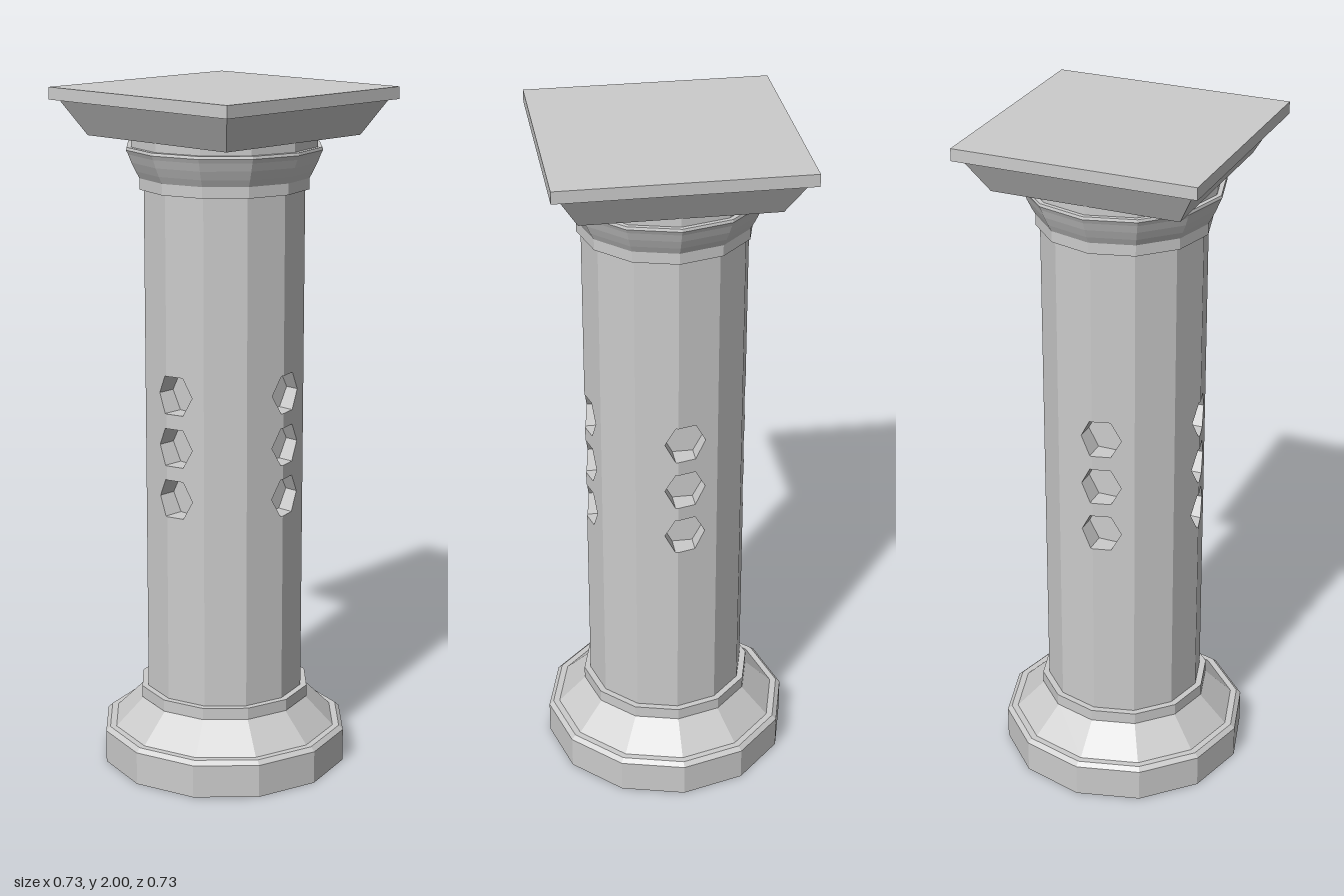
import * as THREE from 'three';

const SIDES = 12, R = 0.235, Y0 = 0.2, Y1 = 1.74;
const HALF = R * Math.sin(Math.PI / 6);          // width of one facet seen from its ridge
const SLOPE = Math.tan(Math.PI / 12);
const SOCKET_Y = [0.845, 0.997, 1.15];
const SX = 0.022, SR = 0.059, SH = 0.055, FLOOR = 0.172;

const material = new THREE.MeshStandardMaterial({ color: 0xcccccc, flatShading: true });

// height of the folded shaft surface above the axis plane
const surfaceZ = (x) => R - Math.abs(x) * SLOPE;

function add(parent, name, geometry, y = 0) {
  const mesh = new THREE.Mesh(geometry, material);
  mesh.name = name;
  mesh.position.y = y;
  parent.add(mesh);
  return mesh;
}

function lathe(parent, name, profile) {
  const points = profile.map(([r, y]) => new THREE.Vector2(r, y));
  return add(parent, name, new THREE.LatheGeometry(points, SIDES));
}

// one facet beside a ridge, notched along the ridge by the sockets
function notchedFacet(side) {
  const flat = side > 0 ? SX + SR / 2 : SX - SR / 2;
  const tip = SX + side * SR;
  const pts = [[0, Y0], [side * HALF, Y0], [side * HALF, Y1], [0, Y1]];
  for (const y of [...SOCKET_Y].reverse()) {
    pts.push([0, y + SH], [flat, y + SH], [tip, y], [flat, y - SH], [0, y - SH]);
  }
  const shape = new THREE.Shape(pts.map(([x, y]) => new THREE.Vector2(x, y)));
  const geometry = new THREE.ShapeGeometry(shape);
  const p = geometry.attributes.position;
  for (let i = 0; i < p.count; i++) p.setZ(i, surfaceZ(p.getX(i)));
  geometry.computeVertexNormals();
  return geometry;
}

// hexagonal recess: inner walls and a flat floor
function socketGeometry() {
  const a = SX - SR / 2, b = SX + SR / 2;
  const rim = [[a, -SH], [0, -SH], [b, -SH], [SX + SR, 0], [b, SH], [0, SH], [a, SH], [SX - SR, 0]];
  const v = [];
  rim.forEach(([x, y], i) => {
    const [u, w] = rim[(i + 1) % rim.length];
    const f0 = [x, y, surfaceZ(x)], f1 = [u, w, surfaceZ(u)];
    const b0 = [x, y, FLOOR], b1 = [u, w, FLOOR];
    v.push(...f0, ...f1, ...b0, ...f1, ...b1, ...b0);
    v.push(SX, 0, FLOOR, ...b0, ...b1);
  });
  const geometry = new THREE.BufferGeometry();
  geometry.setAttribute('position', new THREE.Float32BufferAttribute(v, 3));
  geometry.computeVertexNormals();
  return geometry;
}

// plain facet between two notched pairs
function plainFacet() {
  const width = 2 * R * Math.sin(Math.PI / SIDES);
  return new THREE.PlaneGeometry(width, Y1 - Y0)
    .translate(0, (Y0 + Y1) / 2, R * Math.cos(Math.PI / SIDES))
    .rotateY(Math.PI / 4);
}

// square block tapering from one half width to another
function squareFrustum(top, bottom, height) {
  return new THREE.CylinderGeometry(top * Math.SQRT2, bottom * Math.SQRT2, height, 4, 1, false, Math.PI / 4);
}

export function createModel() {
  const column = new THREE.Group();
  column.name = 'column';
  column.rotation.y = -0.0189;

  // base
  lathe(column, 'basePlinth', [[0, 0], [0.367, 0], [0.367, 0.098], [0.354, 0.11], [0.3, 0.11]]);
  lathe(column, 'baseSlope', [[0.335, 0.11], [0.25, 0.195]]);
  lathe(column, 'baseCollar', [[0.245, 0.195], [0.254, 0.195], [0.254, 0.23], [0.22, 0.23]]);

  // shaft, a quarter at a time
  const facets = [notchedFacet(1), notchedFacet(-1), plainFacet()];
  const socket = socketGeometry();
  for (let i = 0; i < 4; i++) {
    const quarter = new THREE.Group();
    quarter.name = 'shaftQuarter';
    quarter.rotation.y = i * Math.PI / 2;
    facets.forEach((g) => add(quarter, 'shaftFacet', g));
    SOCKET_Y.forEach((y) => add(quarter, 'socket', socket, y));
    column.add(quarter);
  }

  // capital
  lathe(column, 'capitalFlare', [
    [0.22, 1.72], [0.247, 1.72], [0.247, 1.752], [0.258, 1.772], [0.27, 1.797],
    [0.279, 1.82], [0.285, 1.832], [0.283, 1.84], [0.24, 1.84],
  ]);
  lathe(column, 'capitalNeck', [[0.27, 1.84], [0.27, 1.866]]);
  add(column, 'capitalTaper', squareFrustum(0.328, 0.272, 0.1), 1.915);
  add(column, 'topSlab', new THREE.BoxGeometry(0.697, 0.035, 0.697), 1.9825);

  const model = new THREE.Group();
  model.name = 'pillar';
  model.add(column);
  return model;
}
